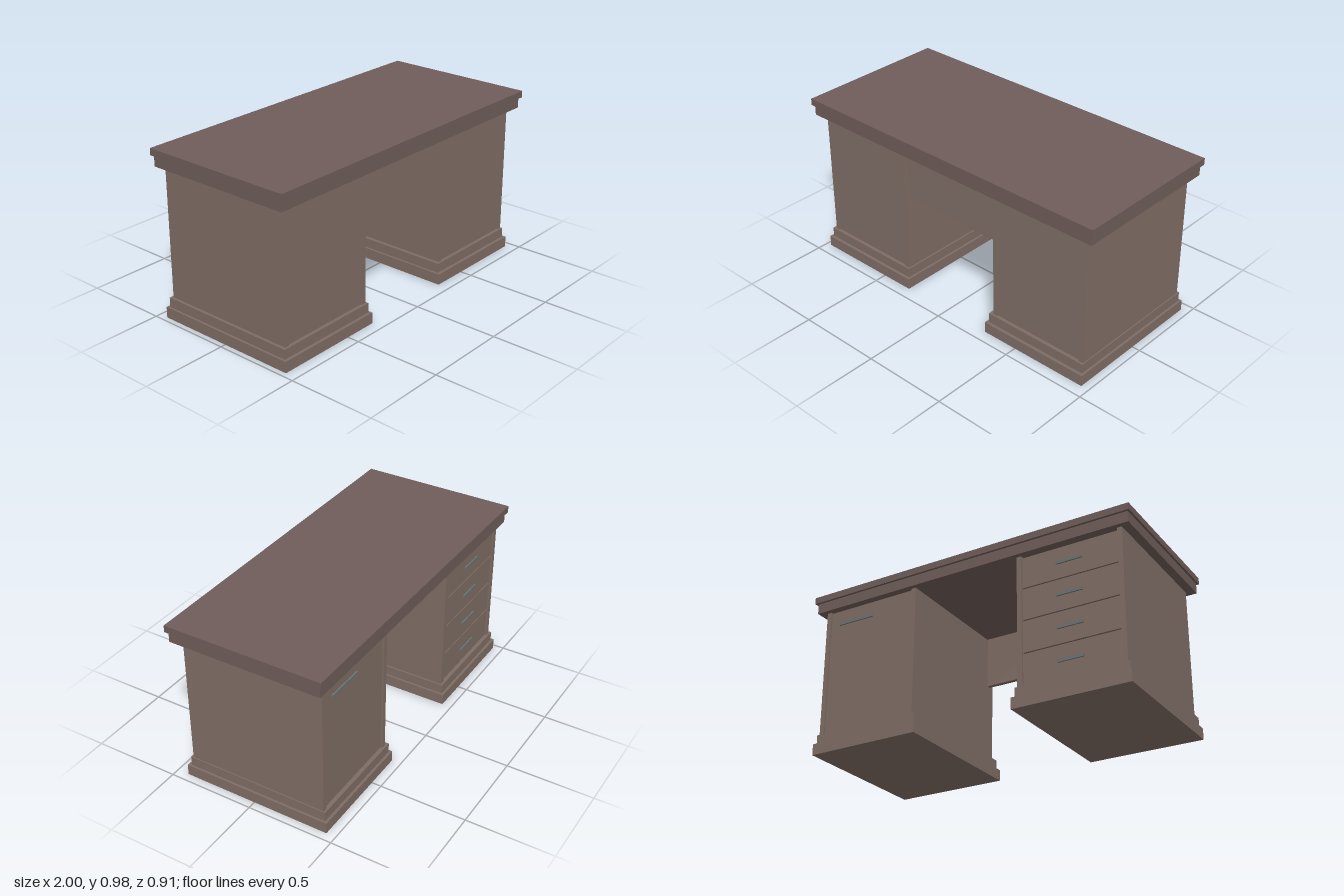
import * as THREE from 'three';

const bodyMat = new THREE.MeshStandardMaterial({ color: 0x7f6d65 });
const topMat = new THREE.MeshStandardMaterial({ color: 0x6f5d59 });
const handleMat = new THREE.MeshStandardMaterial({ color: 0x6a7372 });

// Box given by its limits on each axis
function box(parent, name, [x0, x1], [y0, y1], [z0, z1], material = bodyMat) {
  const mesh = new THREE.Mesh(new THREE.BoxGeometry(x1 - x0, y1 - y0, z1 - z0), material);
  mesh.position.set((x0 + x1) / 2, (y0 + y1) / 2, (z0 + z1) / 2);
  mesh.name = name;
  parent.add(mesh);
  return mesh;
}

// Bar pull on two short posts, on the rear face
function addHandle(parent, x, y, length) {
  const handle = new THREE.Group();
  handle.name = 'handle';
  const h = length / 2;
  box(handle, 'handleBar', [x - h, x + h], [y - 0.008, y + 0.008], [-0.421, -0.413], handleMat);
  for (const s of [-1, 1]) {
    const px = x + s * (h - 0.012);
    box(handle, 'handlePost', [px - 0.006, px + 0.006], [y - 0.006, y + 0.006], [-0.415, -0.4], handleMat);
  }
  parent.add(handle);
}

// Cabinet with stepped plinth, side panels, recessed front and core
function createPedestal(name, x0, x1, plinthX) {
  const g = new THREE.Group();
  g.name = name;
  const t = 0.028, y = [0.12, 0.875];
  box(g, 'plinthLower', plinthX, [0, 0.064], [-0.445, 0.43]);
  box(g, 'plinthUpper', [plinthX[0] + 0.013, plinthX[1] - 0.013], [0.064, 0.12], [-0.43, 0.412]);
  box(g, 'sidePanel', [x0, x0 + t], y, [-0.418, 0.4]);
  box(g, 'sidePanel', [x1 - t, x1], y, [-0.418, 0.4]);
  box(g, 'frontPanel', [x0 + t, x1 - t], y, [0.37, 0.392]);
  box(g, 'core', [x0 + t, x1 - t], y, [-0.39, 0.37]);
  return g;
}

export function createModel() {
  const desk = new THREE.Group();
  desk.name = 'desk';

  // Stepped top
  box(desk, 'topSlab', [-1, 1], [0.938, 0.977], [-0.457, 0.457], topMat);
  box(desk, 'topApron', [-0.988, 0.986], [0.877, 0.938], [-0.443, 0.443], topMat);

  // Panel across the knee space
  box(desk, 'modestyPanel', [-0.325, 0.32], [0.57, 0.877], [0.345, 0.372]);

  // Drawer cabinet
  const drawers = createPedestal('drawerPedestal', -0.94, -0.325, [-0.97, -0.302]);
  for (let i = 0; i < 4; i++) {
    const y = 0.125 + i * 0.1865;
    box(drawers, 'drawerFront', [-0.909, -0.356], [y, y + 0.18], [-0.41, -0.39]);
    addHandle(drawers, -0.6325, y + 0.09, 0.15);
  }
  desk.add(drawers);

  // Door cabinet
  const cupboard = createPedestal('doorPedestal', 0.32, 0.934, [0.285, 0.953]);
  box(cupboard, 'door', [0.35, 0.904], [0.125, 0.87], [-0.41, -0.39]);
  addHandle(cupboard, 0.725, 0.783, 0.23);
  desk.add(cupboard);

  return desk;
}
